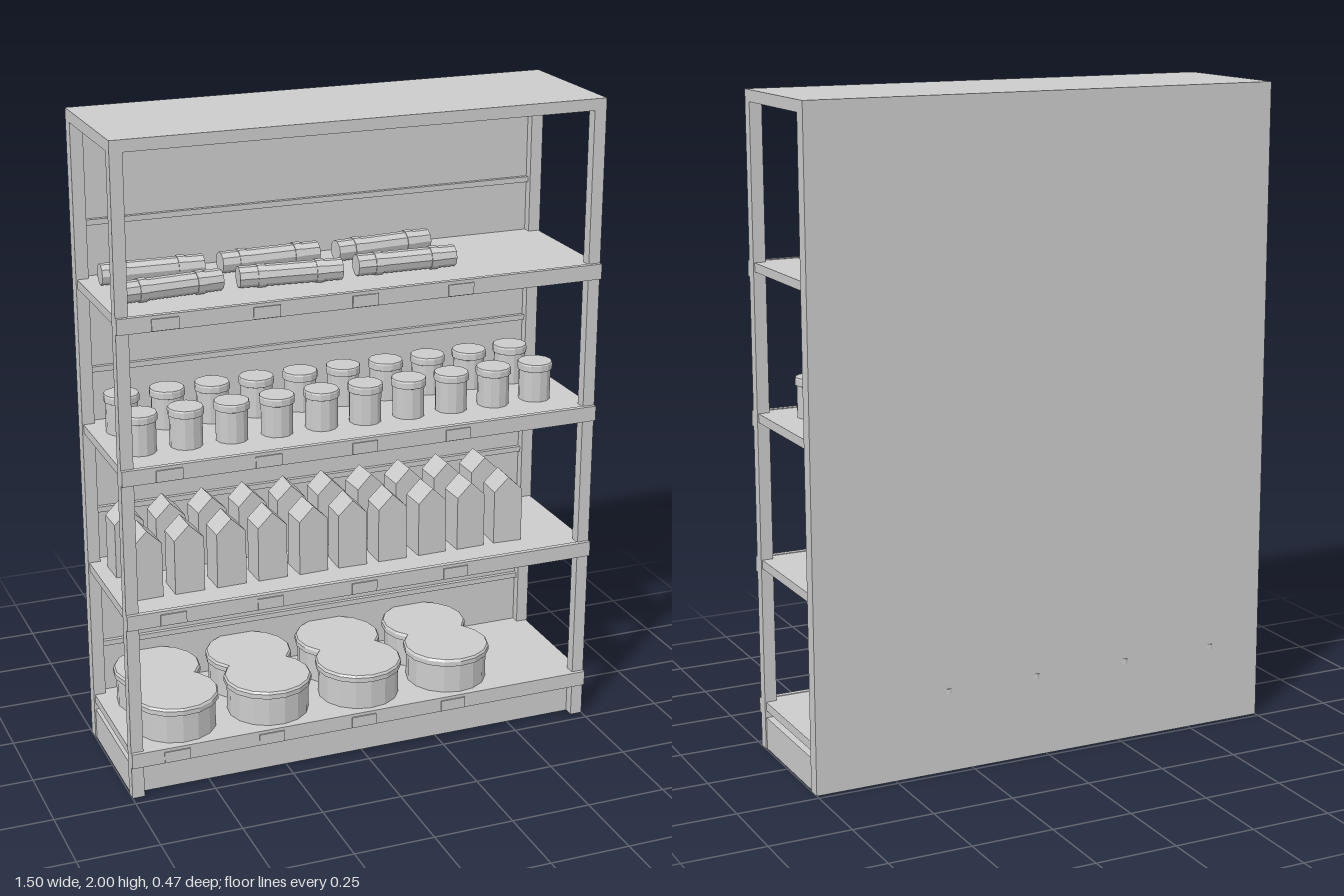
import * as THREE from 'three';

export function createModel() {
  const root = new THREE.Group();
  root.name = 'stockedShelf';
  const grey = new THREE.MeshStandardMaterial({ color: 0xcccccc, flatShading: true });
  grey.name = 'grey';

  const add = (geometry, name, parent = root) => {
    const mesh = new THREE.Mesh(geometry, grey);
    mesh.name = name;
    parent.add(mesh);
    return mesh;
  };
  // Box given by its limits on each axis
  const box = (name, x0, x1, y0, y1, z0, z1, parent) => {
    const mesh = add(new THREE.BoxGeometry(x1 - x0, y1 - y0, z1 - z0), name, parent);
    mesh.position.set((x0 + x1) / 2, (y0 + y1) / 2, (z0 + z1) / 2);
    return mesh;
  };
  // Small repeatable variation between -1 and 1
  let seed = 7;
  const vary = () => {
    seed = (seed * 16807) % 2147483647;
    return (seed / 2147483647) * 2 - 1;
  };

  const FRONT = 0.217, BACK = -0.233;
  const shelfTops = [0.15, 0.6, 1.05, 1.5];
  const rows = [0.08, -0.1];

  // Frame
  box('backPanel', -0.75, 0.75, 0, 2, BACK, -0.218);
  box('topPanel', -0.75, 0.75, 1.965, 2, BACK, FRONT);
  box('base', -0.746, 0.746, 0, 0.1, -0.22, 0.185);
  for (const side of [-1, 1]) {
    const a = side < 0 ? -0.75 : 0.712;
    box('frontPost', a, a + 0.038, 0, 1.97, 0.182, FRONT);
    box('backPost', a, a + 0.038, 0, 1.97, -0.222, -0.19);
  }

  // Shelves with a front rail, price tags and a rear bar
  for (const y of shelfTops) {
    const shelf = new THREE.Group();
    shelf.name = 'shelf';
    root.add(shelf);
    box('shelfBoard', -0.746, 0.746, y - 0.027, y, -0.22, FRONT - 0.002, shelf);
    box('frontRail', -0.75, 0.75, y - 0.045, y + 0.002, FRONT - 0.004, 0.229, shelf);
    box('rearBar', -0.712, 0.712, y + 0.155, y + 0.172, -0.22, -0.205, shelf);
    for (let i = 0; i < 4; i++) {
      const x = -0.61 + i * 0.3;
      box('priceTag', x - 0.04, x + 0.04, y - 0.043, y - 0.008, 0.228, 0.233, shelf);
    }
  }

  const lathe = (points, sides) =>
    new THREE.LatheGeometry(points.map(([r, y]) => new THREE.Vector2(r, y)), sides);

  // Large lidded tubs
  const tub = lathe([[0, 0], [0.126, 0], [0.126, 0.09], [0.135, 0.093],
    [0.135, 0.108], [0.13, 0.115], [0, 0.115]], 16);
  // Small lidded tins
  const tin = lathe([[0, 0], [0.049, 0], [0.049, 0.095], [0.054, 0.097],
    [0.054, 0.115], [0.052, 0.12], [0, 0.12]], 12);
  // Rolls with a raised band near each end
  const roll = lathe([[0, -0.154], [0.032, -0.154], [0.032, -0.1], [0.035, -0.1],
    [0.035, -0.075], [0.032, -0.075], [0.032, 0.075], [0.035, 0.075],
    [0.035, 0.1], [0.032, 0.1], [0.032, 0.154], [0, 0.154]], 10).rotateZ(-Math.PI / 2);
  // Gable-topped cartons
  const gable = new THREE.Shape([[-0.046, 0], [0.046, 0], [0.046, 0.17], [0, 0.215],
    [-0.046, 0.17]].map(([x, y]) => new THREE.Vector2(x, y)));
  const carton = new THREE.ExtrudeGeometry(gable, { depth: 0.092, bevelEnabled: false });
  carton.translate(0, 0, -0.046);

  // Goods in two rows on each shelf
  const stock = (name, geometry, count, x0, step, y, turn) => {
    const goods = new THREE.Group();
    goods.name = name + 'Rows';
    root.add(goods);
    for (const z of rows) {
      for (let i = 0; i < count; i++) {
        const item = add(geometry, name, goods);
        item.position.set(x0 + i * step, y, z);
        item.rotation.y = turn * vary();
      }
    }
  };
  stock('tub', tub, 4, -0.57, 0.3, 0.15, 0.1);
  stock('carton', carton, 10, -0.655, 0.13, 0.6, 0.06);
  stock('tin', tin, 10, -0.652, 0.1405, 1.05, 0.2);
  stock('roll', roll, 3, -0.547, 0.361, 1.535, 0.1);

  return root;
}
